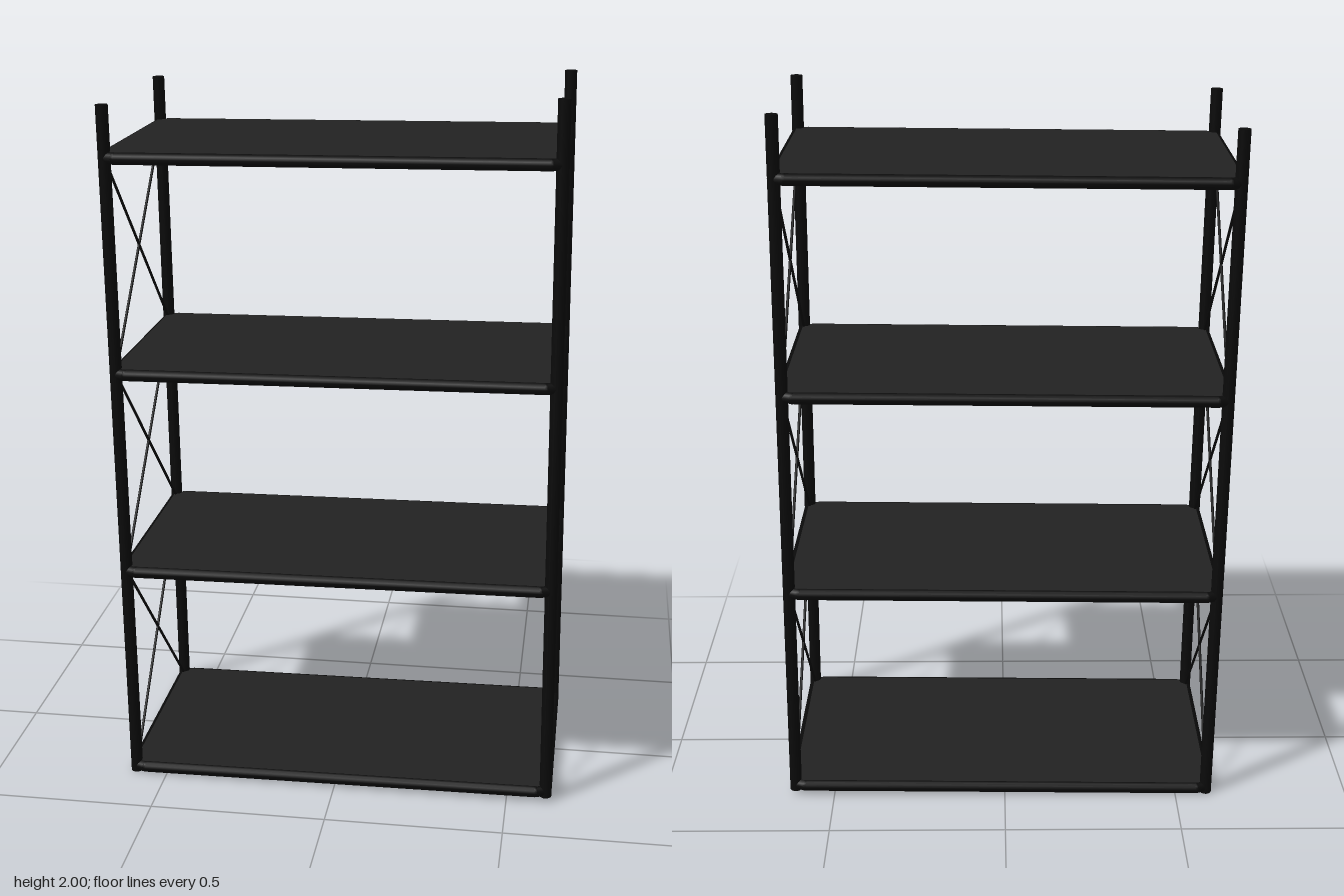
import * as THREE from 'three';

const frameMat = new THREE.MeshStandardMaterial({ color: 0x0a0a0a });
const panelMat = new THREE.MeshStandardMaterial({ color: 0x222222 });

// Round bar between two points
function rod(name, a, b, radius, sides = 12) {
  const dir = b.clone().sub(a);
  const mesh = new THREE.Mesh(new THREE.CylinderGeometry(radius, radius, dir.length(), sides), frameMat);
  mesh.position.copy(a).addScaledVector(dir, 0.5);
  mesh.quaternion.setFromUnitVectors(new THREE.Vector3(0, 1, 0), dir.normalize());
  mesh.name = name;
  return mesh;
}

// Rectangle with cut corners, as [x, z] points in order
function outline(hx, hz, cx, cz) {
  return [
    [hx - cx, hz], [hx, hz - cz], [hx, cz - hz], [hx - cx, -hz],
    [cx - hx, -hz], [-hx, cz - hz], [-hx, hz - cz], [cx - hx, hz],
  ];
}

// Shelf: a closed tubular rail with a thin panel lying in its top
function makeShelf(y) {
  const shelf = new THREE.Group();
  shelf.name = 'shelf';
  const r = 0.0165;
  const pts = outline(0.603, 0.31, 0.03, 0.012).map(([x, z]) => new THREE.Vector3(x, 0, z));
  pts.forEach((p, i) => {
    shelf.add(rod('shelfRail', p, pts[(i + 1) % pts.length], r));
    const joint = new THREE.Mesh(new THREE.SphereGeometry(r, 12, 8), frameMat);
    joint.position.copy(p);
    joint.name = 'railCorner';
    shelf.add(joint);
  });
  const shape = new THREE.Shape(outline(0.605, 0.309, 0.025, 0.02).map(([x, z]) => new THREE.Vector2(x, z)));
  const panel = new THREE.Mesh(
    new THREE.ExtrudeGeometry(shape, { depth: 0.01, bevelEnabled: false }).rotateX(Math.PI / 2), panelMat);
  panel.position.y = r;
  panel.name = 'shelfPanel';
  shelf.add(panel);
  shelf.position.y = y;
  return shelf;
}

export function createModel() {
  const model = new THREE.Group();
  model.name = 'shelvingUnit';
  const levels = [0.027, 0.648, 1.232, 1.827];
  const postX = 0.602, postZ = 0.3;

  for (const y of levels) model.add(makeShelf(y));

  for (const sx of [-1, 1]) {
    // Corner posts, one side a little shorter
    const top = sx < 0 ? 1.967 : 1.993;
    for (const sz of [-1, 1]) {
      model.add(rod('post',
        new THREE.Vector3(sx * postX, 0.01, sz * postZ),
        new THREE.Vector3(sx * postX, top, sz * postZ), 0.017, 16));
    }
    // Crossed bracing rods on each end, bay by bay
    for (let i = 0; i < levels.length - 1; i++) {
      for (const sz of [-1, 1]) {
        model.add(rod('crossBrace',
          new THREE.Vector3(sx * postX, levels[i], sz * postZ),
          new THREE.Vector3(sx * postX, levels[i + 1], -sz * postZ), 0.004, 8));
      }
    }
  }

  // The unit leans very slightly
  model.rotation.set(0, -0.004, 0.0105);
  model.position.x = 0.0105;
  const root = new THREE.Group();
  root.name = 'shelving';
  root.add(model);
  return root;
}
